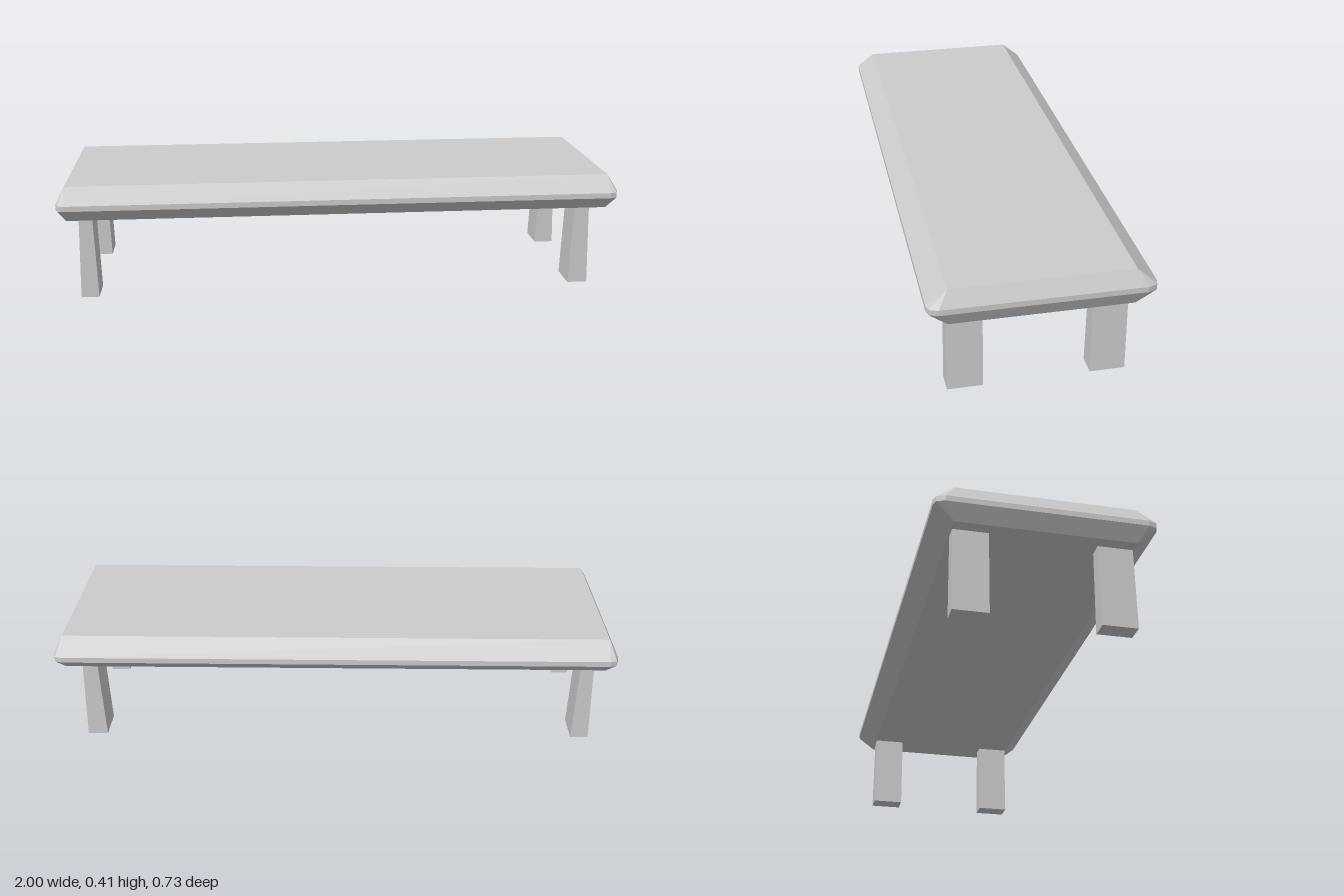
import * as THREE from 'three';
import { ConvexGeometry } from 'three/addons/geometries/ConvexGeometry.js';

const material = new THREE.MeshStandardMaterial({ color: 0xcccccc, flatShading: true });

// Slab with wide chamfers above and below a thin rim with clipped corners
function createTabletop() {
  const points = [];
  for (const sx of [-1, 1]) {
    for (const sz of [-1, 1]) {
      const add = (x, y, z) => points.push(new THREE.Vector3(sx * x, y, sz * z));
      for (const y of [0.289, 0.414]) add(0.972, y, 0.298);
      for (const y of [0.342, 0.361]) {
        add(0.968, y, 0.365);
        add(0.99, y, 0.358);
        add(1, y, 0.33);
      }
    }
  }
  const top = new THREE.Mesh(new ConvexGeometry(points), material);
  top.name = 'tabletop';
  return top;
}

// Flat board leg, narrower at the top across x
function createLeg(name, x, width, z) {
  const height = 0.295;
  const geometry = new THREE.BoxGeometry(width, height, 0.118);
  geometry.translate(0, height / 2, 0);
  const pos = geometry.attributes.position;
  for (let i = 0; i < pos.count; i++) {
    if (pos.getY(i) > height / 2) pos.setX(i, pos.getX(i) * 0.74);
  }
  geometry.computeVertexNormals();
  const leg = new THREE.Mesh(geometry, material);
  leg.position.set(x, 0, z);
  leg.name = name;
  return leg;
}

export function createModel() {
  const table = new THREE.Group();
  table.name = 'table';
  table.add(createTabletop());
  for (const [end, z] of [['front', 0.237], ['back', -0.237]]) {
    table.add(createLeg(end + 'LeftLeg', 0.885, 0.072, z));
    table.add(createLeg(end + 'RightLeg', -0.905, 0.064, z));
  }
  return table;
}
